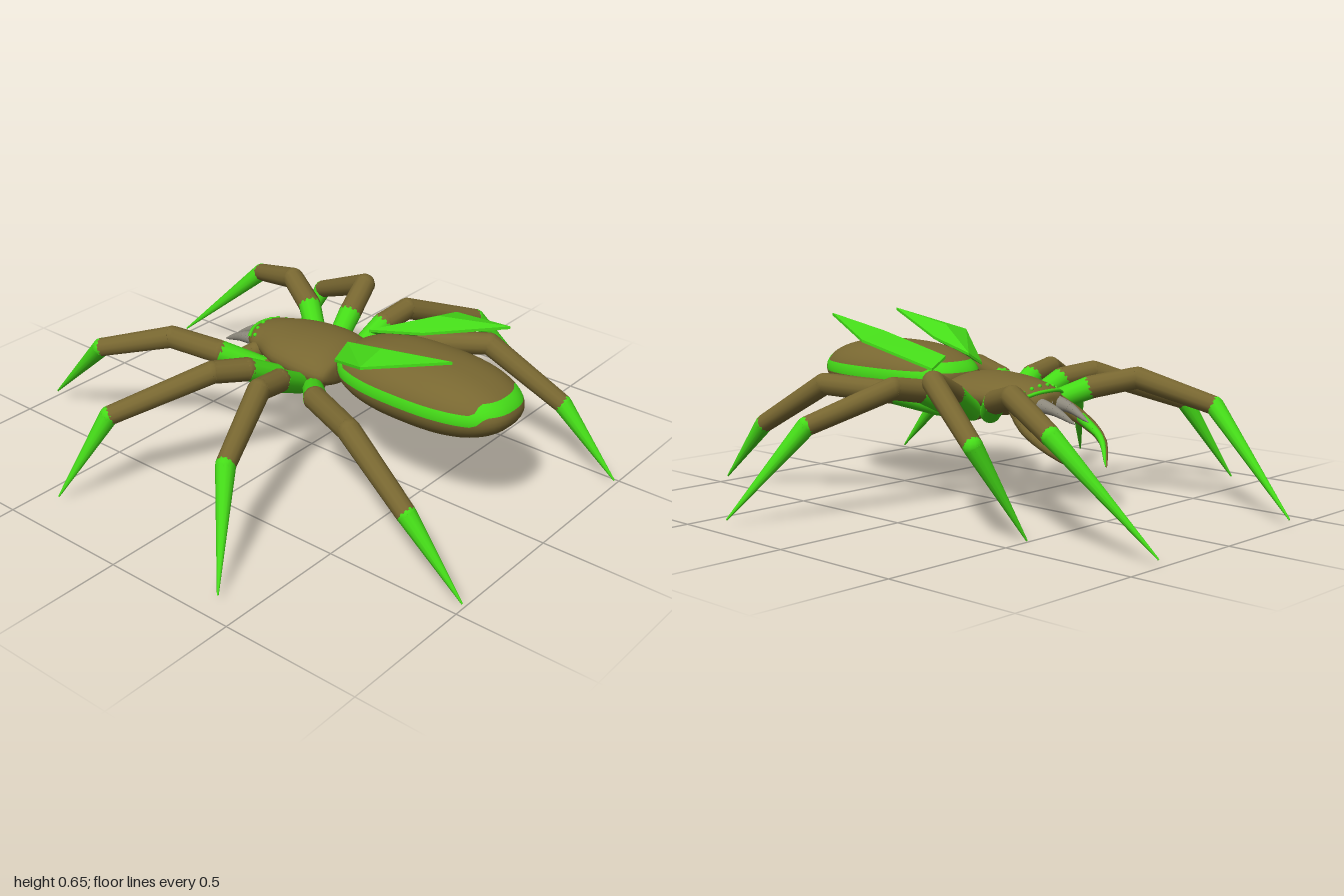
import * as THREE from 'three';
import { ParametricGeometry } from 'three/addons/geometries/ParametricGeometry.js';
import { ConvexGeometry } from 'three/addons/geometries/ConvexGeometry.js';

const brown = new THREE.MeshStandardMaterial({ color: 0x786731 });
const green = new THREE.MeshStandardMaterial({ color: 0x45dc18 });
const grey = new THREE.MeshStandardMaterial({ color: 0x8c887c });
const V = (p) => new THREE.Vector3(...p);

function add(parent, geometry, material, name) {
  const mesh = new THREE.Mesh(geometry, material);
  mesh.name = name;
  parent.add(mesh);
  return mesh;
}

// Tapered round segment between two points, with a ball to round its start joint
function segment(parent, a, b, ra, rb, material, name, joint = true) {
  const dir = b.clone().sub(a);
  const mesh = add(parent, new THREE.CylinderGeometry(rb, ra, dir.length(), 12), material, name);
  mesh.position.copy(a).addScaledVector(dir, 0.5);
  mesh.quaternion.setFromUnitVectors(new THREE.Vector3(0, 1, 0), dir.normalize());
  if (joint) add(parent, new THREE.SphereGeometry(ra, 12, 8), material, name + 'Joint').position.copy(a);
}

// Curved claw that narrows to a point
function claw(parent, points, r, material, name, n = 10) {
  const pts = new THREE.CatmullRomCurve3(points.map(V)).getPoints(n);
  const rad = (i) => r * Math.pow(1 - i / n, 0.7) + 0.001;
  for (let i = 0; i < n; i++) segment(parent, pts[i], pts[i + 1], rad(i), rad(i + 1), material, name);
}

// Smooth body through oval sections [z, halfWidth, centreY, halfHeight], listed toward +z
function loft(sections) {
  const path = new THREE.CatmullRomCurve3(sections.map(([z, w, y]) => new THREE.Vector3(w, y, z)));
  const height = new THREE.SplineCurve(sections.map((s) => new THREE.Vector2(s[3], 0)));
  return new ParametricGeometry((u, v, out) => {
    const p = path.getPoint(v), a = u * Math.PI * 2;
    out.set(Math.max(p.x, 0.002) * Math.cos(a), p.y + Math.max(height.getPoint(v).x, 0.002) * Math.sin(a), p.z);
  }, 32, 36);
}

// Horizontal band of the abdomen between two elevation limits
function abdomenBand(low, high, rows) {
  const soft = (t) => Math.sign(t) * Math.pow(Math.abs(t), 0.8);
  return new ParametricGeometry((u, v, out) => {
    const phi = -u * Math.PI * 2;
    // the stripe climbs at both ends of the abdomen
    const lift = 0.28 * THREE.MathUtils.smoothstep(Math.abs(Math.sin(phi)), 0.72, 0.88);
    const e = THREE.MathUtils.lerp(low(lift), high(lift), v);
    const c = Math.pow(Math.max(Math.cos(e), 0), 0.85);
    out.set(0.187 * c * soft(Math.cos(phi)), 0.43 + 0.12 * Math.sin(e), 0.51 + 0.35 * c * soft(Math.sin(phi)));
  }, 64, rows);
}

// Leg nodes: hip start, hip end, bend, knee, tip
const legs = {
  frontLeg: [[0.15, 0.35, -0.1], [0.25, 0.41, -0.22], [0.33, 0.45, -0.37], [0.435, 0.365, -0.63], [0.36, 0.025, -0.995]],
  thirdLeg: [[0.16, 0.35, 0.08], [0.29, 0.42, 0.1], [0.41, 0.44, 0.115], [0.7, 0.33, 0.23], [0.92, 0.02, 0.39]],
  rearLeg: [[0.16, 0.35, 0.14], [0.28, 0.4, 0.25], [0.4, 0.42, 0.49], [0.46, 0.25, 0.77], [0.466, 0.02, 0.998]],
};
// The second pair is posed differently on each side
const secondLegs = {
  1: [[0.16, 0.35, -0.02], [0.28, 0.42, -0.05], [0.41, 0.48, -0.085], [0.545, 0.32, -0.4], [0.39, 0.003, -0.49]],
  '-1': [[0.16, 0.35, -0.01], [0.3, 0.42, -0.04], [0.42, 0.44, -0.09], [0.71, 0.32, -0.3], [0.86, 0.02, -0.42]],
};

function makeLeg(parent, nodes, side, name) {
  const leg = new THREE.Group();
  leg.name = name;
  const root = [0.02, 0.335, 0.03 + nodes[0][2] * 0.3];
  const pts = [root, ...nodes].map(([x, y, z]) => new THREE.Vector3(x * side, y, z));
  const radii = [0.025, 0.037, 0.042, 0.04, 0.034, 0.003];
  const names = ['legRoot', 'hip', 'thigh', 'shin', 'foot'];
  names.forEach((part, i) =>
    segment(leg, pts[i], pts[i + 1], radii[i], radii[i + 1], i === 1 || i === 4 ? green : brown, part));
  parent.add(leg);
}

export function createModel() {
  const model = new THREE.Group();
  model.name = 'spider';

  // Abdomen with a green stripe around it
  const bottom = () => -1.569, top = () => 1.569;
  const stripeLow = (lift) => -0.08 + lift, stripeHigh = (lift) => 0.25 + lift;
  add(model, abdomenBand(bottom, stripeLow, 14), brown, 'abdomenLower');
  add(model, abdomenBand(stripeLow, stripeHigh, 4), green, 'abdomenStripe');
  add(model, abdomenBand(stripeHigh, top, 12), brown, 'abdomenUpper');

  // Head and thorax in one shell
  add(model, loft([
    [-0.255, 0.003, 0.385, 0.003], [-0.248, 0.06, 0.385, 0.03], [-0.215, 0.092, 0.39, 0.05],
    [-0.16, 0.11, 0.395, 0.06], [-0.08, 0.148, 0.395, 0.07], [0.02, 0.165, 0.395, 0.076],
    [0.11, 0.163, 0.39, 0.074], [0.165, 0.14, 0.385, 0.055], [0.18, 0.08, 0.385, 0.03], [0.183, 0.003, 0.385, 0.003],
  ]), brown, 'thorax');

  // Brow line
  const brow = new THREE.CatmullRomCurve3(
    [[-0.095, 0.408, -0.215], [-0.055, 0.42, -0.234], [0, 0.424, -0.243], [0.055, 0.42, -0.234], [0.095, 0.408, -0.215]].map(V));
  add(model, new THREE.TubeGeometry(brow, 24, 0.007, 6), green, 'browLine');

  for (const side of [1, -1]) {
    const m = ([x, y, z]) => [x * side, y, z];

    // Eyes
    for (const p of [[0.02, 0.439, -0.213], [0.055, 0.432, -0.208], [0.085, 0.42, -0.195]])
      add(model, new THREE.SphereGeometry(0.008, 10, 8), green, 'eye').position.set(...m(p));

    // Legs
    for (const [name, nodes] of Object.entries(legs)) makeLeg(model, nodes, side, name);
    makeLeg(model, secondLegs[side], side, 'secondLeg');

    // Curved pincers with a green ridge
    const pincer = new THREE.Group();
    pincer.name = 'pincer';
    const curve = [[0.1, 0.37, -0.18], [0.148, 0.31, -0.27], [0.143, 0.25, -0.36], [0.066, 0.17, -0.447]];
    claw(pincer, curve.map(m), 0.032, brown, 'pincerBody');
    claw(pincer, curve.slice(1).map(([x, y, z]) => m([x - 0.012, y + 0.006, z - 0.004])), 0.018, green, 'pincerRidge');
    model.add(pincer);

    // Grey fangs
    claw(model, [[0.045, 0.38, -0.22], [0.043, 0.365, -0.3], [0.034, 0.325, -0.39]].map(m), 0.028, grey, 'fang', 8);

    // Thin, angular wing plates over the abdomen
    const rim = [[0.06, 0.515, 0.21], [0.13, 0.475, 0.21], [0.27, 0.575, 0.43], [0.165, 0.648, 0.715], [0.085, 0.56, 0.42]];
    const hull = [...rim, [0.16, 0.6, 0.43], ...rim.map(([x, y, z]) => [x, y - 0.01, z])];
    add(model, new ConvexGeometry(hull.map((p) => V(m(p)))), green, 'wing');
  }
  return model;
}
